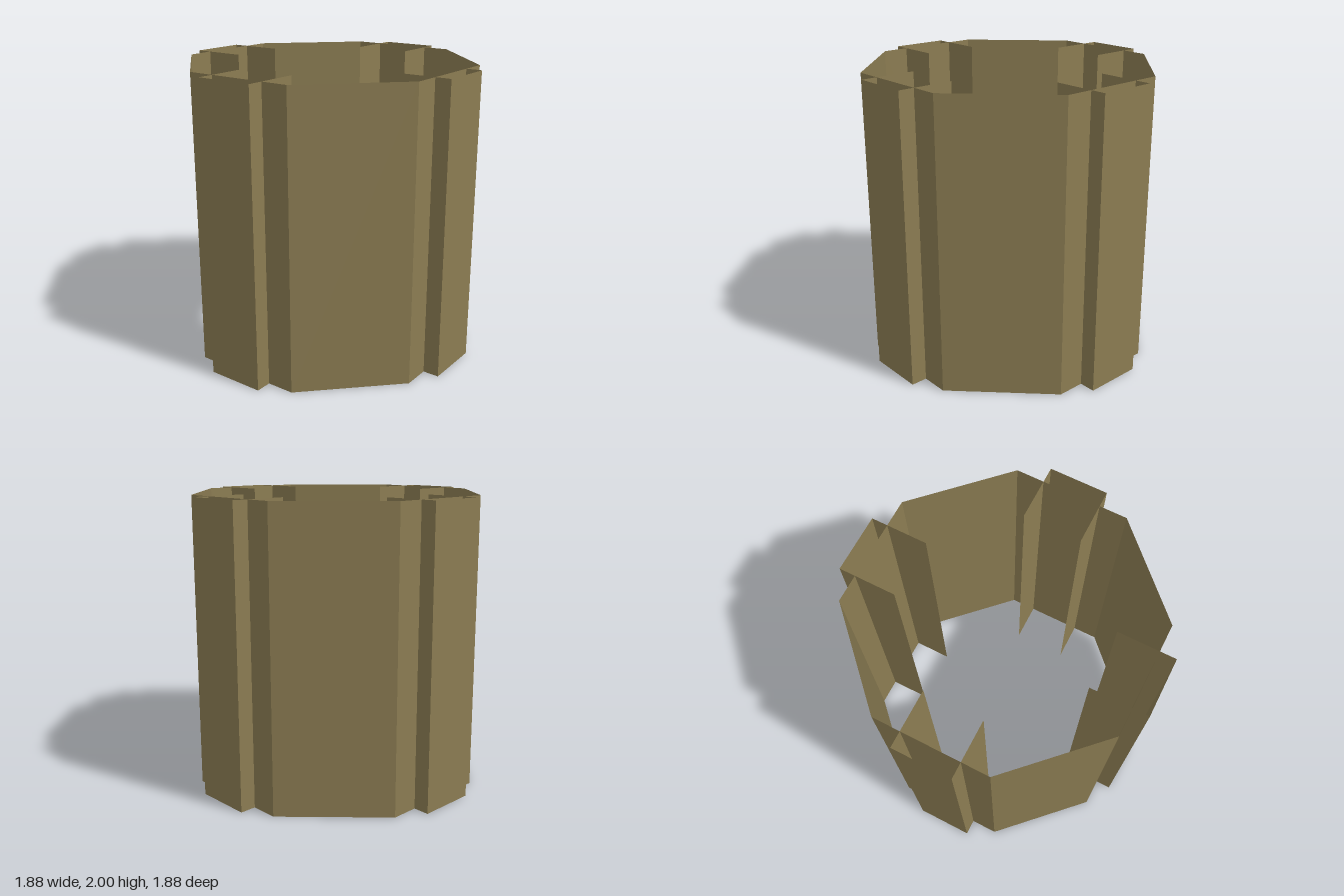
import * as THREE from 'three';

export function createModel() {
  const HEIGHT = 2;
  const APOTHEM = 0.94;    // centre to flat side of the octagon
  const RIB_WIDTH = 0.4;
  const RIB_OUTER = 1.05;  // centre to outer face of a rib
  const RIB_DEPTH = 0.39;

  const olive = new THREE.MeshStandardMaterial({ color: 0x8b7c52, side: THREE.DoubleSide, flatShading: true });
  olive.name = 'olive';

  const model = new THREE.Group();
  model.name = 'octagonalTube';

  // Open eight-sided wall with a flat side to the front
  const wall = new THREE.Mesh(
    new THREE.CylinderGeometry(APOTHEM / Math.cos(Math.PI / 8), APOTHEM / Math.cos(Math.PI / 8), HEIGHT, 8, 1, true, Math.PI / 8),
    olive
  );
  wall.name = 'octagonWall';
  wall.position.y = HEIGHT / 2;
  model.add(wall);

  // Upright thin sheet
  const sheet = (name, width, x, z, turn) => {
    const mesh = new THREE.Mesh(new THREE.PlaneGeometry(width, HEIGHT), olive);
    mesh.name = name;
    mesh.position.set(x, HEIGHT / 2, z);
    mesh.rotation.y = turn;
    return mesh;
  };

  // U-shaped ribs passing through the four diagonal sides
  for (let i = 0; i < 4; i++) {
    const rib = new THREE.Group();
    rib.name = 'cornerRib';
    rib.add(sheet('ribOuterFace', RIB_WIDTH, 0, RIB_OUTER, 0));
    for (const s of [-1, 1]) {
      rib.add(sheet('ribSide', RIB_DEPTH, s * RIB_WIDTH / 2, RIB_OUTER - RIB_DEPTH / 2, s * Math.PI / 2));
    }
    rib.rotation.y = Math.PI / 4 + i * Math.PI / 2;
    model.add(rib);
  }
  return model;
}
